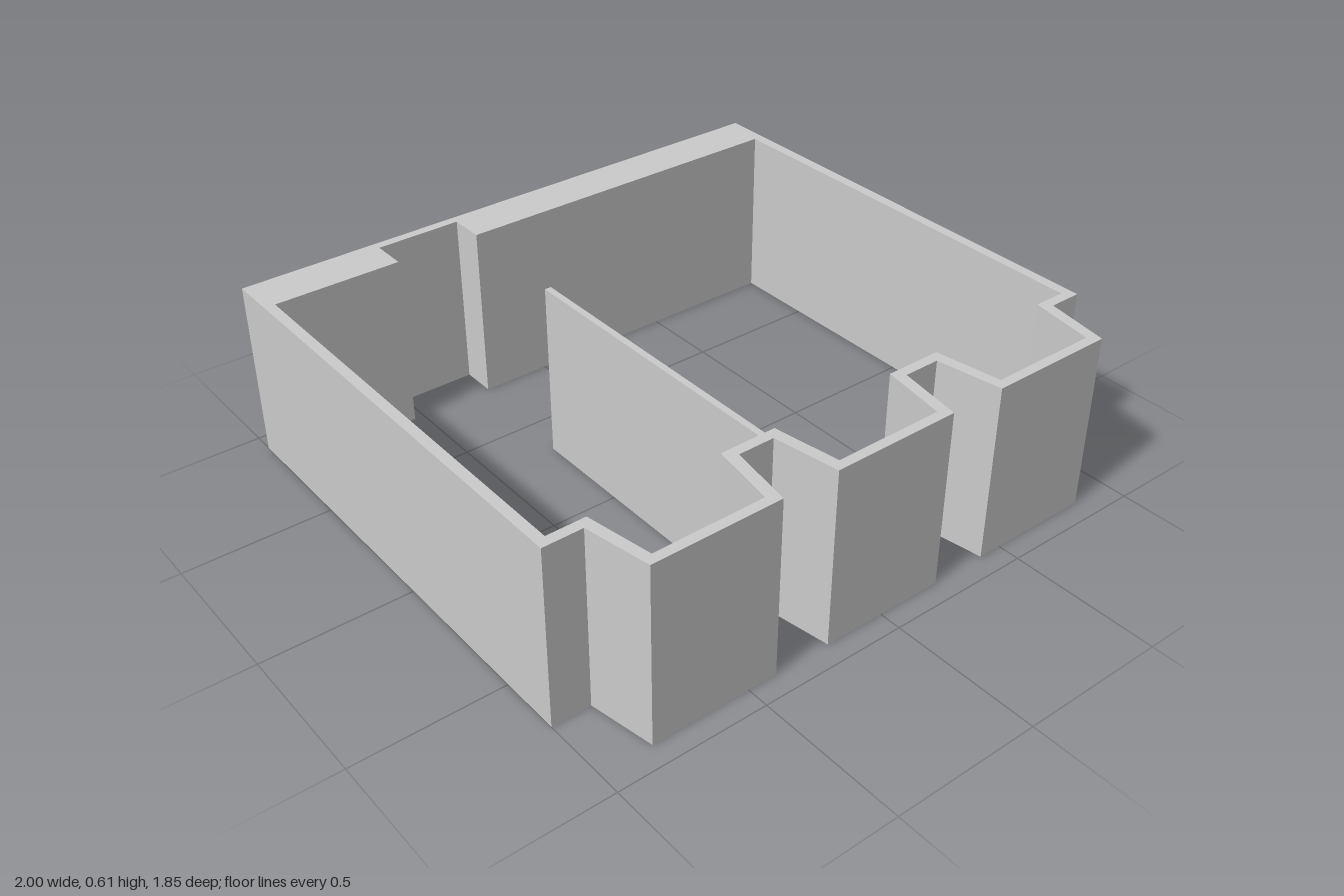
import * as THREE from 'three';

const HEIGHT = 0.605;

// Extrude a floor-plan outline (x, z pairs) upward from y = 0
function extrudePlan(outline, hole) {
  const toPoints = (pts) => pts.map(([x, z]) => new THREE.Vector2(x, -z));
  const shape = new THREE.Shape(toPoints(outline));
  if (hole) shape.holes.push(new THREE.Path(toPoints(hole)));
  const geometry = new THREE.ExtrudeGeometry(shape, { depth: HEIGHT, bevelEnabled: false });
  return geometry.rotateX(-Math.PI / 2);
}

export function createModel() {
  const group = new THREE.Group();
  group.name = 'walledRoom';
  const material = new THREE.MeshStandardMaterial({ color: 0xcccccc, flatShading: true });

  // Three splayed bays along the front: corner x values, left to right
  const outerBays = [
    [-0.87, -0.83, -0.4, -0.365],
    [-0.243, -0.207, 0.225, 0.26],
    [0.383, 0.419, 0.852, 0.888],
  ];
  const innerBays = [
    [-0.838, -0.8, -0.434, -0.4],
    [-0.21, -0.175, 0.193, 0.227],
    [0.415, 0.45, 0.82, 0.855],
  ];
  const bayLine = (bays, zBack, zFront) =>
    bays.flatMap(([a, b, c, d]) => [[a, zBack], [b, zFront], [c, zFront], [d, zBack]]);

  // Outer face of the walls
  const outer = [
    [-1, 0.707], ...bayLine(outerBays, 0.707, 0.925), [1, 0.707],
    [1, -0.928], [-1, -0.928],
  ];

  // Inner face, with the recess in the thick back wall
  const inner = [
    [-0.965, 0.673], ...bayLine(innerBays, 0.673, 0.892), [0.965, 0.673],
    [0.965, -0.775], [-0.24, -0.775], [-0.24, -0.896],
    [-0.533, -0.896], [-0.533, -0.775], [-0.965, -0.775],
  ];

  const walls = new THREE.Mesh(extrudePlan(outer, inner), material);
  walls.name = 'outerWalls';
  group.add(walls);

  // Thin partition running back from the front wall
  const partition = new THREE.Mesh(
    extrudePlan([[-0.267, 0.673], [-0.245, 0.673], [-0.245, -0.34], [-0.267, -0.34]]), material);
  partition.name = 'partitionWall';
  group.add(partition);

  return group;
}
